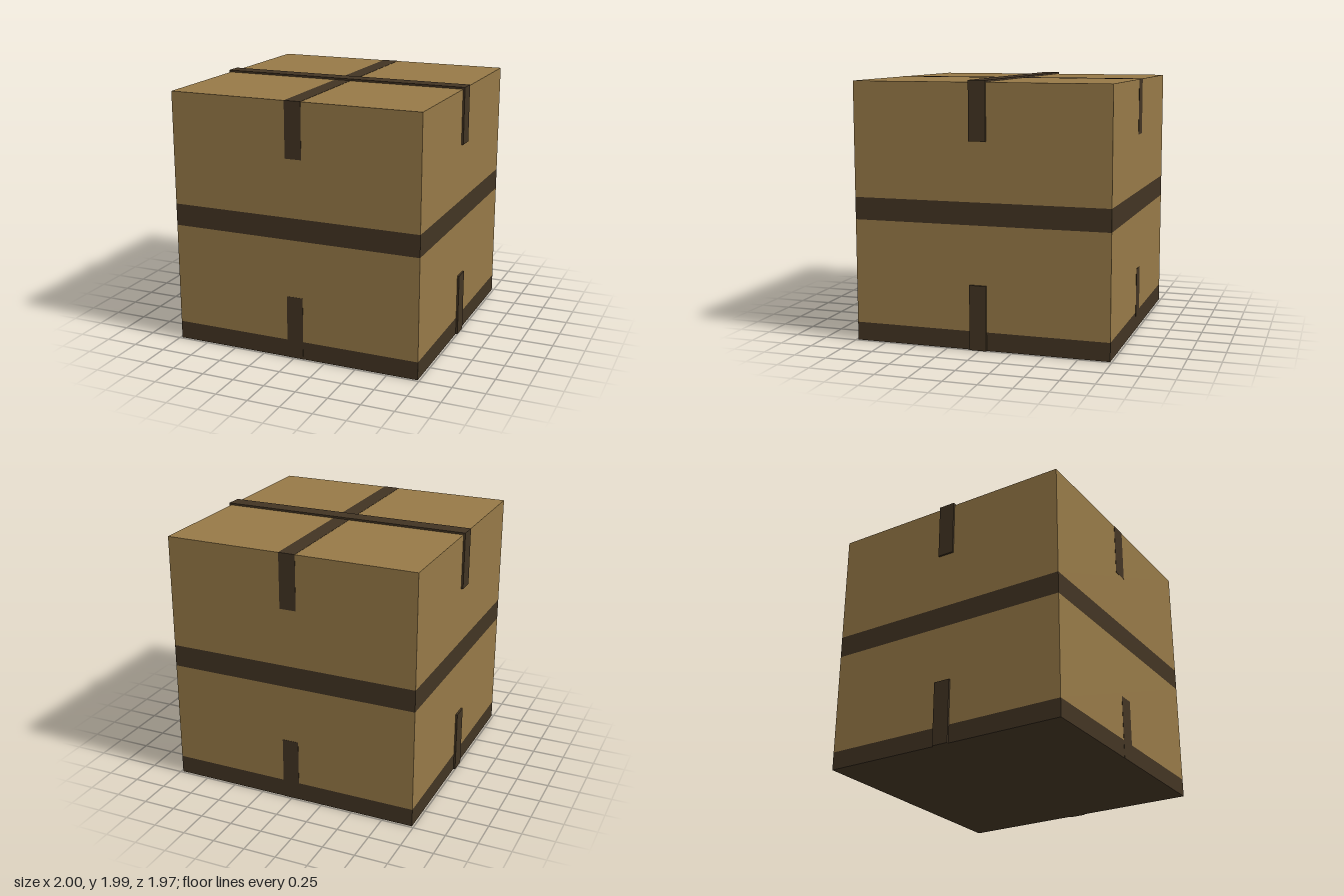
import * as THREE from 'three';

const CARD = new THREE.MeshStandardMaterial({ color: 0x967947 });
const TAPE = new THREE.MeshStandardMaterial({ color: 0x423423 });

const HALF = 0.985; // half width of the box
const TOP = 1.975; // height of the box
const TAPE_W = 0.13; // strap width
const OFF = 0.007; // straps sit slightly off centre

export function createModel() {
  const group = new THREE.Group();
  group.name = 'crate';

  const add = (name, geometry, material) => {
    const mesh = new THREE.Mesh(geometry, material);
    mesh.name = name;
    group.add(mesh);
    return mesh;
  };
  const box = (name, material, x0, x1, y0, y1, z0, z1) =>
    add(name, new THREE.BoxGeometry(x1 - x0, y1 - y0, z1 - z0), material)
      .position.set((x0 + x1) / 2, (y0 + y1) / 2, (z0 + z1) / 2);

  // Body: stacked layers, dark base and dark belt flush with the walls
  const layers = [
    ['base', TAPE, 0, 0.14],
    ['lowerBody', CARD, 0.14, 0.935],
    ['belt', TAPE, 0.935, 1.105],
    ['upperBody', CARD, 1.105, TOP],
  ];
  for (const [name, material, y0, y1] of layers) {
    box(name, material, -HALF, HALF, y0, y1, -HALF, HALF);
  }

  // Outline of a strap folded over the top edges
  const foldedStrap = (inner, thick) => {
    const outer = inner + thick;
    const shape = new THREE.Shape([
      [-outer, 1.55], [-inner, 1.55], [-inner, TOP], [inner, TOP],
      [inner, 1.55], [outer, 1.55], [outer, TOP + thick], [-outer, TOP + thick],
    ].map(([x, y]) => new THREE.Vector2(x, y)));
    const geometry = new THREE.ExtrudeGeometry(shape, { depth: TAPE_W, bevelEnabled: false });
    return geometry.translate(0, 0, -TAPE_W / 2);
  };

  // Raised strap across the sides, thin strap from front to back
  const thick = 0.015;
  const thin = 0.0015;
  add('sideTopStrap', foldedStrap(HALF, thick), TAPE).position.z = OFF + 0.003;
  const frontStrap = add('frontTopStrap', foldedStrap(HALF, thin), TAPE);
  frontStrap.rotation.y = Math.PI / 2;
  frontStrap.position.x = OFF;

  // Short lower straps on all four walls
  const w = TAPE_W / 2;
  for (const s of [-1, 1]) {
    const x = s * (HALF + thick / 2);
    box('sideLowerStrap', TAPE, x - thick / 2, x + thick / 2, 0, 0.49, OFF + 0.003 - w, OFF + 0.003 + w);
    const z = s * (HALF + thin / 2);
    box('frontLowerStrap', TAPE, OFF - w, OFF + w, 0, 0.49, z - thin / 2, z + thin / 2);
  }
  return group;
}
